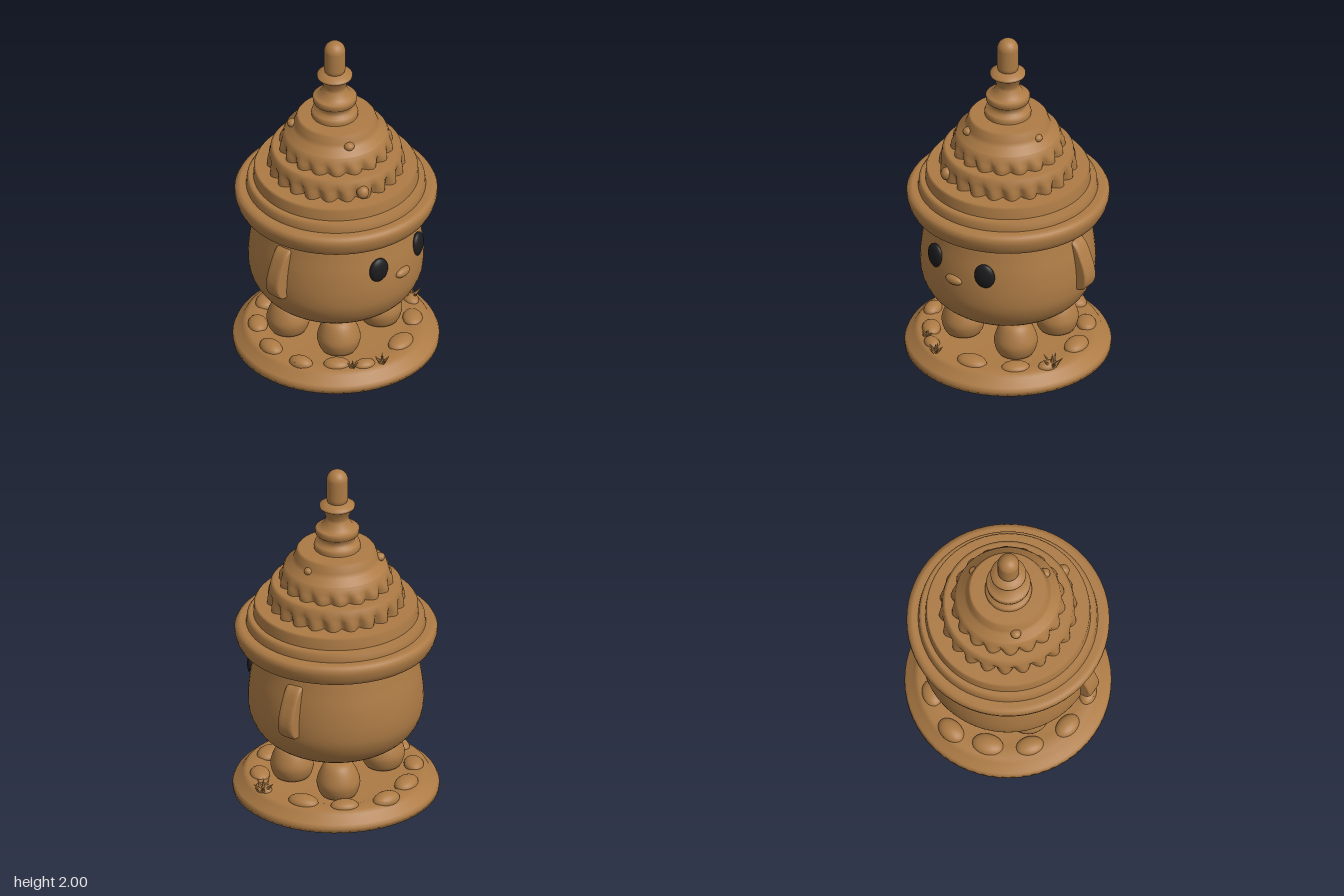
import * as THREE from 'three';

const clay = new THREE.MeshStandardMaterial({ name: 'brown clay', color: 0xad7b45 });
const black = new THREE.MeshStandardMaterial({ name: 'eye black', color: 0x1c1c1e });

function add(parent, name, geometry, position = [0, 0, 0], scale = [1, 1, 1], material = clay) {
  const mesh = new THREE.Mesh(geometry, material);
  mesh.name = name;
  mesh.position.set(...position);
  mesh.scale.set(...scale);
  parent.add(mesh);
  return mesh;
}

// Lathe from [radius, height] pairs listed from the bottom up
const lathe = (pairs, segments = 64) =>
  new THREE.LatheGeometry(pairs.map(([r, y]) => new THREE.Vector2(r, y)), segments);

// Lathe from a smooth curve through the pairs
function smoothLathe(pairs, divisions = 36) {
  const curve = new THREE.SplineCurve(pairs.map(([r, y]) => new THREE.Vector2(r, y)));
  const points = curve.getPoints(divisions);
  points.forEach(p => { p.x = Math.max(0, p.x); });
  return new THREE.LatheGeometry(points, 64);
}

// Tier with a ruffled skirt: pointed notches rise between rounded drips
function ruffledTier(bottom, top, rBottom, rTop, teeth) {
  const h = top - bottom;
  const geometry = lathe([[rBottom, bottom], [rBottom, bottom + h * 0.2], [rBottom - 0.004, bottom + h * 0.42],
    [rTop + 0.012, bottom + h * 0.62], [rTop + 0.005, bottom + h * 0.9], [rTop - 0.012, top], [0, top]], teeth * 8);
  const p = geometry.attributes.position;
  for (let i = 0; i < p.count; i++) {
    const x = p.getX(i), y = p.getY(i), z = p.getZ(i);
    const t = (y - bottom) / h;
    if (t > 0.6) continue;
    const wave = 1 - Math.abs(Math.sin(Math.atan2(x, z) * teeth / 2));
    const k = 1 - 0.12 * wave * (1 - t);
    p.setXYZ(i, x * k, y, z * k);
  }
  geometry.computeVertexNormals();
  return geometry;
}

function createBase() {
  const base = new THREE.Group();
  base.name = 'base';
  add(base, 'baseDisk', lathe([[0, 0], [0.58, 0], [0.58, 0.025], [0.57, 0.045], [0.545, 0.055],
    [0.525, 0.085], [0.5, 0.1], [0.43, 0.105], [0.37, 0.085], [0, 0.085]]));

  // Stones around the rim: angle from the front, ring radius, size, height
  const stones = [[0.15, 0.42, 0.09, 0.035], [0.75, 0.43, 0.08, 0.03], [1.15, 0.47, 0.06, 0.03],
    [1.75, 0.43, 0.09, 0.04], [2.3, 0.44, 0.08, 0.035], [2.85, 0.46, 0.085, 0.045], [3.35, 0.43, 0.09, 0.04],
    [3.9, 0.44, 0.08, 0.035], [4.45, 0.45, 0.08, 0.04], [4.95, 0.46, 0.07, 0.04], [5.4, 0.43, 0.075, 0.035],
    [5.75, 0.46, 0.06, 0.03]];
  for (const [a, r, size, height] of stones) {
    const stone = add(base, 'stone', new THREE.SphereGeometry(1, 20, 12),
      [Math.sin(a) * r, 0.1, Math.cos(a) * r], [size, height, size * 0.7]);
    stone.rotation.y = a;
  }

  // Tufts of pointed leaves
  for (const [x, z, size] of [[0.45, 0.18, 0.09], [-0.16, 0.46, 0.065], [-0.46, 0.1, 0.05], [-0.3, 0.36, 0.05]]) {
    const tuft = new THREE.Group();
    tuft.name = 'leafTuft';
    tuft.position.set(x, 0.09, z);
    base.add(tuft);
    for (let i = 0; i < 5; i++) {
      const leaf = add(tuft, 'leaf', new THREE.ConeGeometry(0.2, 1, 6).translate(0, 0.5, 0),
        [0, 0, 0], [size, size, size]);
      leaf.rotation.set(0, i * Math.PI * 0.4, 0.75, 'YXZ');
    }
    add(tuft, 'leaf', new THREE.ConeGeometry(0.2, 1, 6).translate(0, 0.5, 0), [0, 0, 0], [size, size, size]);
  }
  return base;
}

function createBody() {
  const body = new THREE.Group();
  body.name = 'body';
  add(body, 'torso', smoothLathe([[0, 0.265], [0.16, 0.272], [0.31, 0.305], [0.42, 0.375], [0.478, 0.47],
    [0.493, 0.57], [0.483, 0.7], [0.46, 0.82], [0.437, 0.95]]));

  // Four rounded feet
  for (const side of [-1, 1]) {
    for (const [x, z] of [[0.185, 0.17], [0.215, -0.17]]) {
      add(body, 'foot', smoothLathe([[0, 0.085], [0.09, 0.09], [0.12, 0.15], [0.118, 0.2], [0.09, 0.265],
        [0.055, 0.295], [0, 0.3]], 20), [side * x, 0, z]);
    }
  }

  // Flat ears hanging at the sides
  const outline = new THREE.Shape();
  outline.moveTo(0.4, 0.83);
  outline.bezierCurveTo(0.47, 0.85, 0.49, 0.79, 0.52, 0.72);
  outline.bezierCurveTo(0.56, 0.62, 0.55, 0.57, 0.51, 0.545);
  outline.lineTo(0.4, 0.53);
  const earGeometry = new THREE.ExtrudeGeometry(outline, {
    depth: 0.05, bevelThickness: 0.025, bevelSize: 0.012, bevelSegments: 4, curveSegments: 12
  });
  earGeometry.translate(0, 0, -0.065);
  add(body, 'leftEar', earGeometry);
  add(body, 'rightEar', earGeometry).rotation.y = Math.PI - 0.1;

  // Face
  const ball = new THREE.SphereGeometry(1, 32, 20);
  for (const [name, x, y] of [['rightEye', -0.17, 0.73], ['leftEye', 0.175, 0.722]]) {
    add(body, name, ball, [x, y, 0.445], [0.061, 0.075, 0.03], black).rotation.y = x * 1.6;
  }
  add(body, 'nose', ball, [-0.01, 0.65, 0.487], [0.056, 0.028, 0.028]);
  return body;
}

function createHat() {
  const hat = new THREE.Group();
  hat.name = 'hat';
  add(hat, 'brim', lathe([[0, 0.918], [0.53, 0.918], [0.545, 0.925], [0.56, 0.955], [0.569, 0.99],
    [0.569, 1.015], [0.558, 1.033], [0.535, 1.043], [0, 1.043]]));
  add(hat, 'lowerStep', lathe([[0.5, 1.03], [0.505, 1.04], [0.5, 1.08], [0.485, 1.1], [0, 1.1]]));
  add(hat, 'upperStep', lathe([[0.465, 1.09], [0.46, 1.16], [0.45, 1.173], [0, 1.173]]));
  add(hat, 'lowerRuffle', ruffledTier(1.165, 1.302, 0.388, 0.362, 22));
  add(hat, 'upperRuffle', ruffledTier(1.295, 1.405, 0.322, 0.29, 18));
  add(hat, 'crown', lathe([[0.292, 1.39], [0.288, 1.405], [0.245, 1.435], [0.235, 1.46], [0.222, 1.5],
    [0.21, 1.513], [0, 1.513]]));

  // Turned finial with rings and a rounded tip
  add(hat, 'finial', lathe([[0.13, 1.505], [0.132, 1.53], [0.125, 1.55], [0.1, 1.555], [0.098, 1.585],
    [0.122, 1.605], [0.125, 1.635], [0.115, 1.643], [0.09, 1.65], [0.065, 1.69], [0.065, 1.71],
    [0.08, 1.755], [0.1, 1.77], [0.1, 1.782], [0.075, 1.795], [0.05, 1.805]]), [-0.005, 0, -0.005]);
  add(hat, 'finialTip', new THREE.CapsuleGeometry(0.061, 0.11, 10, 32), [-0.005, 1.884, -0.005]);

  // Small beads
  for (const [x, y, z, w, h] of [[-0.13, 1.445, 0.2, 0.03, 0.024], [0.23, 1.45, 0.025, 0.026, 0.022],
    [-0.15, 1.445, -0.195, 0.03, 0.024], [-0.175, 1.215, 0.335, 0.036, 0.038]]) {
    add(hat, 'bead', new THREE.SphereGeometry(1, 16, 12), [x, y, z], [w, h, w]);
  }
  return hat;
}

export function createModel() {
  const model = new THREE.Group();
  model.name = 'hattedFigure';
  model.add(createBase(), createBody(), createHat());
  return model;
}
